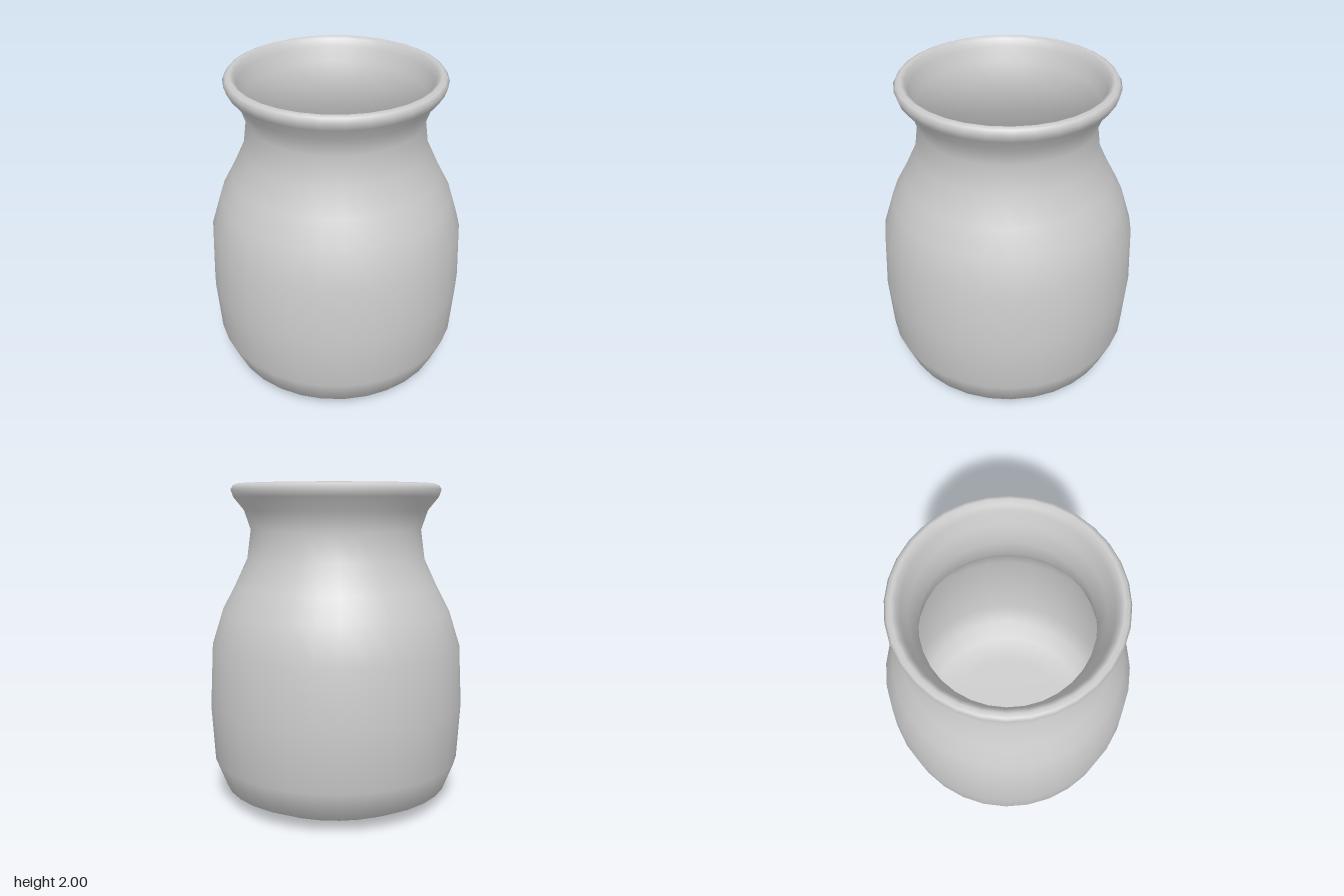
import * as THREE from 'three';

export function createModel() {
  const group = new THREE.Group();
  group.name = 'jar';
  const toPoints = (list) => list.map(([r, y]) => new THREE.Vector2(r, y));

  // Outer wall, from the centre of the base up to the flared lip
  const outer = [
    [0, 0], [0.4, 0.005], [0.6, 0.03], [0.72, 0.09], [0.79, 0.27], [0.81, 0.62],
    [0.79, 1.0], [0.72, 1.22], [0.64, 1.37], [0.56, 1.54], [0.535, 1.72],
    [0.575, 1.84], [0.64, 1.92], [0.655, 1.965],
  ];
  // Rounded rim
  const rim = [[0.64, 1.99], [0.615, 2], [0.59, 1.985]];
  // Inner wall, from the lip down to the centre of the floor
  const inner = [
    [0.575, 1.94], [0.54, 1.85], [0.5, 1.72], [0.525, 1.54], [0.605, 1.36],
    [0.685, 1.21], [0.755, 0.99], [0.775, 0.62], [0.755, 0.28], [0.69, 0.12],
    [0.58, 0.065], [0.4, 0.04], [0, 0.035],
  ];

  // Hollow body turned in one piece
  const body = new THREE.Mesh(
    new THREE.LatheGeometry(toPoints([...outer, ...rim, ...inner]), 32),
    new THREE.MeshStandardMaterial({ color: 0xcccccc }),
  );
  body.name = 'jarBody';
  group.add(body);
  return group;
}
